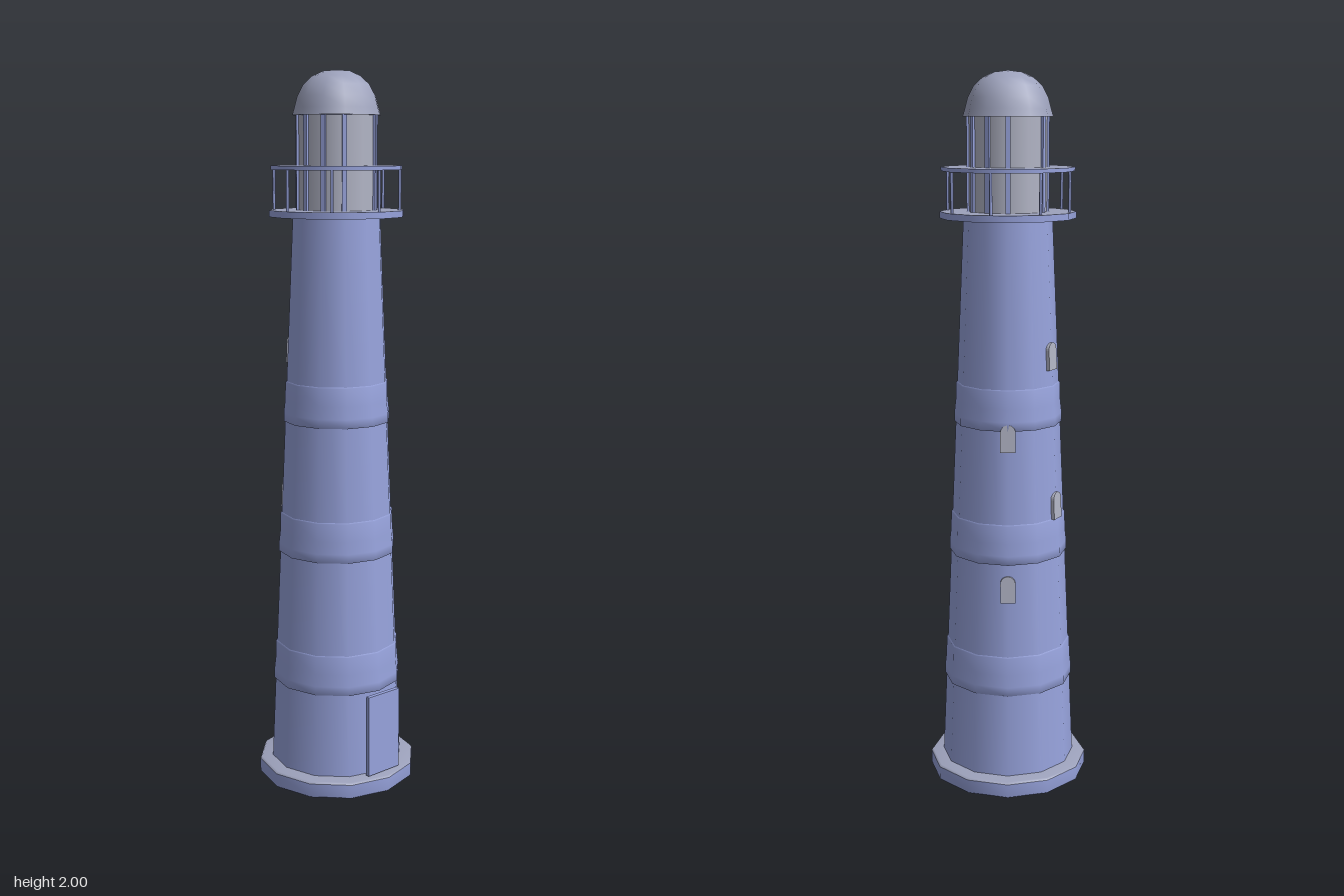
import * as THREE from 'three';

const SIDES = 12;
const BAND_Y = [0.29, 0.67, 1.045];

const paint = (name, color) => Object.assign(new THREE.MeshStandardMaterial({ color }), { name });

// Radius of the tapering tower at a height
const towerRadius = (y) => 0.19 - 0.0436 * (y - 0.05);

export function createModel() {
  const root = new THREE.Group();
  root.name = 'lighthouse';
  const blue = paint('periwinkle', 0x98a4de);
  const grey = paint('blueGrey', 0x9da2bc);
  const glass = paint('paleGlass', 0xb2b5c6);

  const add = (name, geometry, material, parent = root) => {
    const mesh = new THREE.Mesh(geometry, material);
    mesh.name = name;
    parent.add(mesh);
    return mesh;
  };
  // Profile runs from bottom to top
  const lathe = (name, points, material) =>
    add(name, new THREE.LatheGeometry(points.map(([r, y]) => new THREE.Vector2(r, y)), SIDES), material);
  // Twelve-sided slab with its own top colour
  const slab = (name, radius, y0, y1, top) => {
    const geometry = new THREE.CylinderGeometry(radius, radius, y1 - y0, SIDES);
    add(name, geometry, [blue, top, blue]).position.y = (y0 + y1) / 2;
  };

  // Foundation
  lathe('foundationSide', [[0, 0], [0.222, 0], [0.227, 0.005], [0.227, 0.042]], blue);
  lathe('foundationTop', [[0.227, 0.042], [0.222, 0.048], [0.18, 0.052]], grey);

  // Tower shaft and its flared bands
  lathe('tower', [[towerRadius(0.04), 0.04], [towerRadius(1.615), 1.615]], blue);
  BAND_Y.forEach((y) => {
    const r = towerRadius(y);
    lathe('towerBand', [
      [r - 0.006, y], [r + 0.004, y], [r + 0.004, y + 0.025],
      [r, y + 0.06], [r - 0.001, y + 0.11], [r - 0.008, y + 0.115],
    ], blue);
  });

  // Door
  add('door', new THREE.BoxGeometry(0.115, 0.235, 0.012), blue).position.set(0, 0.172, 0.199);

  // Arched windows, climbing the rear of the tower
  const arch = new THREE.Shape();
  arch.moveTo(-0.021, -0.038);
  arch.lineTo(0.021, -0.038);
  arch.lineTo(0.021, 0.017);
  arch.absarc(0, 0.017, 0.021, 0, Math.PI, false);
  arch.closePath();
  const windowGeometry = new THREE.ExtrudeGeometry(arch, { depth: 0.03, bevelEnabled: false, curveSegments: 6 });
  windowGeometry.translate(0, 0, -0.026);
  [[60, 0.6], [120, 0.82], [60, 1.025], [120, 1.24]].forEach(([degrees, y]) => {
    const turn = new THREE.Group();
    turn.name = 'windowMount';
    turn.rotation.y = THREE.MathUtils.degToRad(degrees + 90);
    root.add(turn);
    const pane = add('window', windowGeometry, glass, turn);
    pane.position.set(0, y, towerRadius(y));
    pane.rotation.x = -0.0436;
  });

  // Gallery floor, posts and upper deck
  slab('galleryFloor', 0.187, 1.61, 1.628, grey);
  slab('galleryUpperDeck', 0.182, 1.736, 1.747, grey);
  for (let i = 0; i < 8; i++) {
    const a = (i * Math.PI) / 4;
    const post = add('galleryPost', new THREE.CylinderGeometry(0.004, 0.004, 0.115, 6), blue);
    post.position.set(0.172 * Math.sin(a), 1.68, 0.172 * Math.cos(a));
  }

  // Lantern room with glazing bars
  const room = add('lanternGlass', new THREE.CylinderGeometry(0.107, 0.107, 0.262, SIDES), glass);
  room.position.y = 1.754;
  for (let i = 0; i < SIDES; i++) {
    if (i === 0 || i === 6) continue;
    const a = (i * Math.PI) / 6;
    const bar = add('lanternBar', new THREE.BoxGeometry(0.013, 0.262, 0.012), blue);
    bar.position.set(0.106 * Math.sin(a), 1.754, 0.106 * Math.cos(a));
    bar.rotation.y = a;
  }

  // Domed roof
  lathe('domeUnderside', [[0, 1.88], [0.122, 1.88]], blue);
  lathe('dome', [
    [0.122, 1.88], [0.116, 1.9], [0.108, 1.93], [0.092, 1.96],
    [0.068, 1.982], [0.037, 1.996], [0, 2],
  ], grey);

  return root;
}
